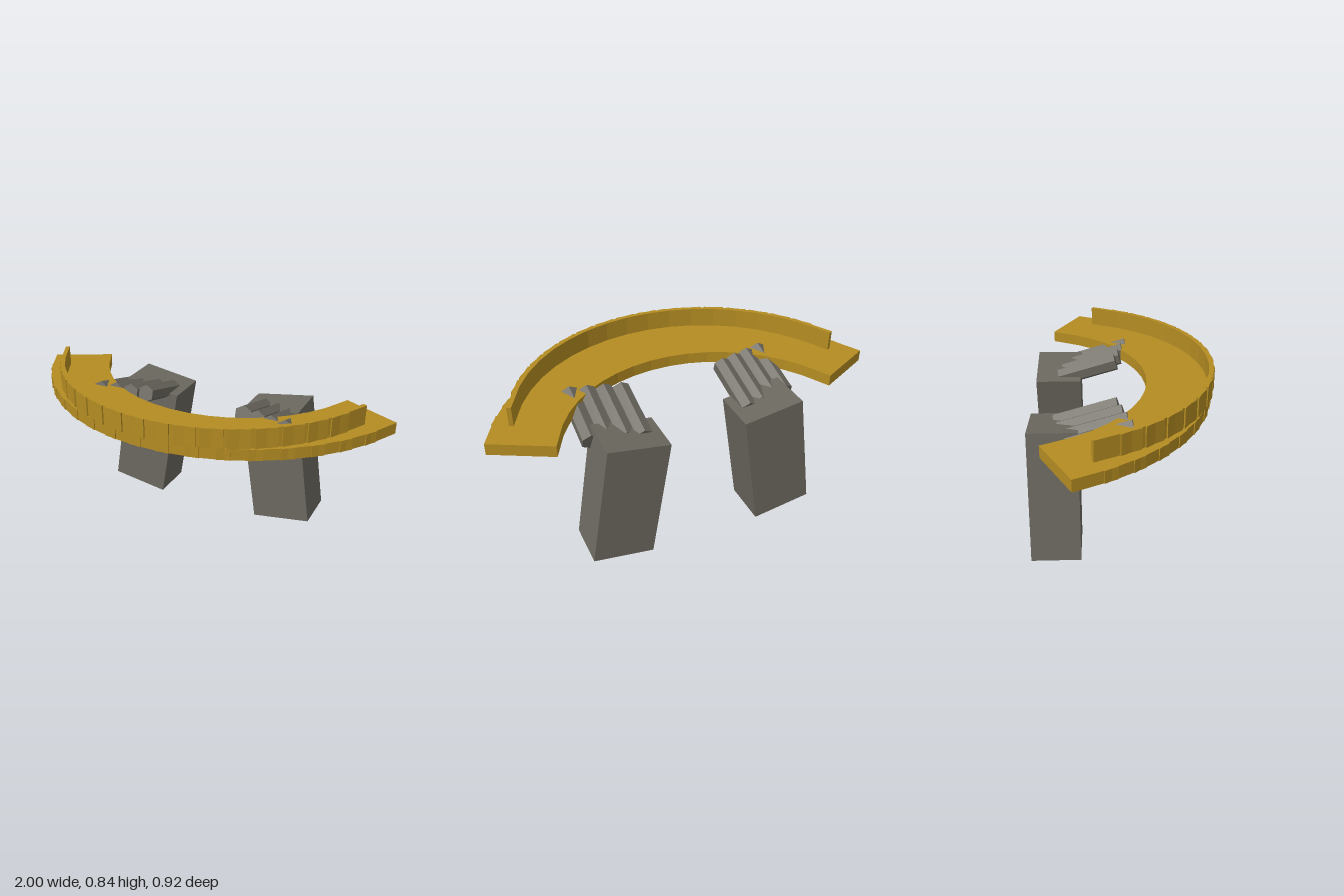
import * as THREE from 'three';

const gold = new THREE.MeshStandardMaterial({ color: 0xb48c22 });
gold.name = 'gold';
const stone = new THREE.MeshStandardMaterial({ color: 0x6b685f });
stone.name = 'stone grey';

// Arc of overlapping straight blocks, open towards the back
function blockArc(name, { centerZ, inner, outer, width, bottom, top }) {
  const arc = new THREE.Group();
  arc.name = name;
  const count = 17, spread = THREE.MathUtils.degToRad(63);
  const geometry = new THREE.BoxGeometry(width, top - bottom, outer - inner);
  const radius = (inner + outer) / 2;
  for (let i = 0; i < count; i++) {
    const angle = -spread + (2 * spread * i) / (count - 1);
    const block = new THREE.Mesh(geometry, gold);
    block.name = name + 'Block';
    block.position.set(Math.sin(angle) * radius, (bottom + top) / 2, centerZ + Math.cos(angle) * radius);
    block.rotation.y = angle;
    arc.add(block);
  }
  return arc;
}

// Leaning block arm with four six-sided fingers; side is +1 left, -1 right
function arm(side) {
  const group = new THREE.Group();
  group.name = side > 0 ? 'leftArm' : 'rightArm';

  const forearm = new THREE.Mesh(new THREE.BoxGeometry(0.317, 0.646, 0.24), stone);
  forearm.name = 'forearm';
  forearm.position.set(side * 0.402, 0.344, -0.339);
  forearm.rotation.z = side * THREE.MathUtils.degToRad(9);
  group.add(forearm);

  const length = 0.32, tilt = 0.283;
  const geometry = new THREE.CylinderGeometry(0.047, 0.047, length, 6).toNonIndexed();
  geometry.computeVertexNormals();
  for (let i = 0; i < 4; i++) {
    const finger = new THREE.Mesh(geometry, stone);
    finger.name = 'finger';
    finger.position.set(
      side * (0.281 + i * 0.081),
      0.625 + Math.sin(tilt) * length / 2,
      -0.268 - (3 - i) * 0.022 + Math.cos(tilt) * length / 2
    );
    finger.rotation.x = Math.PI / 2 - tilt;
    group.add(finger);
  }
  return group;
}

export function createModel() {
  const model = new THREE.Group();
  model.name = 'curvedCounterHeldByArms';
  // Broad curved slab
  model.add(blockArc('counter', { centerZ: -0.625, inner: 0.747, outer: 1.069, width: 0.214, bottom: 0.678, top: 0.737 }));
  // Thin upright lip along the front
  model.add(blockArc('rail', { centerZ: -0.458, inner: 0.892, outer: 0.914, width: 0.232, bottom: 0.737, top: 0.838 }));
  model.add(arm(1), arm(-1));
  return model;
}
